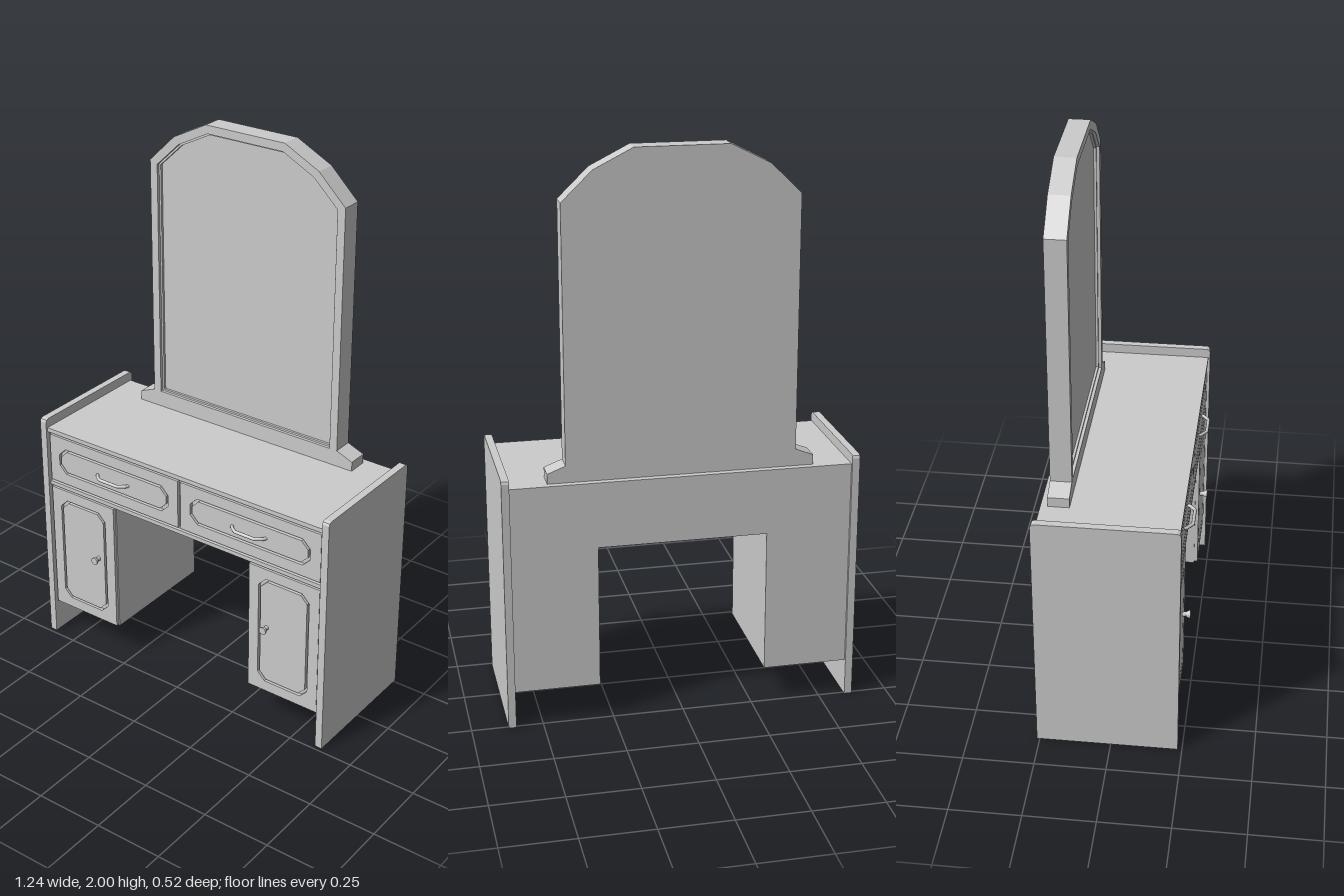
import * as THREE from 'three';

const material = new THREE.MeshStandardMaterial({ color: 0xcccccc, flatShading: true });
const roundMaterial = new THREE.MeshStandardMaterial({ color: 0xcccccc });

function add(parent, name, geometry, mat = material) {
  const mesh = new THREE.Mesh(geometry, mat);
  mesh.name = name;
  parent.add(mesh);
  return mesh;
}

// Box given by its minimum and maximum corners
function box(parent, name, [x0, y0, z0], [x1, y1, z1]) {
  const mesh = add(parent, name, new THREE.BoxGeometry(x1 - x0, y1 - y0, z1 - z0));
  mesh.position.set((x0 + x1) / 2, (y0 + y1) / 2, (z0 + z1) / 2);
  return mesh;
}

const toPoints = (list) => list.map(([x, y]) => new THREE.Vector2(x, y));

// Rectangle with cut corners
const cutRect = (x0, y0, x1, y1, c) => toPoints([
  [x0 + c, y0], [x1 - c, y0], [x1, y0 + c], [x1, y1 - c],
  [x1 - c, y1], [x0 + c, y1], [x0, y1 - c], [x0, y0 + c],
]);

// Plate extruded from z0 to z1, optionally with one opening
function plate(parent, name, outline, z0, z1, hole) {
  const shape = new THREE.Shape(outline);
  if (hole) shape.holes.push(new THREE.Path(hole));
  const geometry = new THREE.ExtrudeGeometry(shape, { depth: z1 - z0, bevelEnabled: false });
  geometry.translate(0, 0, z0);
  return add(parent, name, geometry);
}

// Drawer or door front: flat border, octagonal groove and raised field
function panelFront(parent, name, x0, y0, x1, y1, inset) {
  const group = new THREE.Group();
  group.name = name;
  parent.add(group);
  const groove = (d, c) => cutRect(x0 + inset + d, y0 + inset + d, x1 - inset - d, y1 - inset - d, c);
  const outline = toPoints([[x0, y0], [x1, y0], [x1, y1], [x0, y1]]);
  plate(group, 'border', outline, 0.212, 0.225, groove(0, 0.03));
  plate(group, 'field', groove(0.009, 0.027), 0.212, 0.225);
  return group;
}

// Arched outline shared by mirror frame, bead and glass
function arch(d, bottom) {
  const right = [
    [0.4 - d, bottom], [0.4 - d, 1.83 - d * 0.4],
    [0.295 - d * 0.65, 1.932 - d * 0.8], [0.16 - d * 0.25, 2 - d],
  ];
  const left = right.map(([x, y]) => [-x, y]).reverse();
  return toPoints([...right, ...left]);
}

// Bow-shaped pull made from a bent rod
function addHandle(parent, x) {
  const path = new THREE.CurvePath();
  const points = [[-0.071, 0.222], [-0.064, 0.234], [-0.041, 0.251],
    [0.041, 0.251], [0.064, 0.234], [0.071, 0.222]]
    .map(([px, pz]) => new THREE.Vector3(x + px, 0.76, pz));
  for (let i = 1; i < points.length; i++) path.add(new THREE.LineCurve3(points[i - 1], points[i]));
  add(parent, 'drawerHandle', new THREE.TubeGeometry(path, 40, 0.006, 8), roundMaterial);
}

// Flared door knob
function addKnob(parent, x) {
  const profile = toPoints([[0, 0], [0.009, 0], [0.008, 0.012], [0.014, 0.022], [0.014, 0.028], [0, 0.028]]);
  const knob = add(parent, 'doorKnob', new THREE.LatheGeometry(profile, 16));
  knob.rotation.x = Math.PI / 2;
  knob.position.set(x, 0.403, 0.224);
}

export function createModel() {
  const model = new THREE.Group();
  model.name = 'dressingTable';

  // Table top, drawer case and rail beneath the drawers
  box(model, 'tableTop', [-0.595, 0.864, -0.25], [0.595, 0.88, 0.228]);
  box(model, 'drawerCase', [-0.595, 0.645, -0.25], [0.595, 0.864, 0.212]);
  box(model, 'drawerRail', [-0.595, 0.645, 0.212], [0.595, 0.66, 0.225]);

  for (const s of [-1, 1]) {
    const span = (a, b) => (s > 0 ? [a, b] : [-b, -a]);
    const side = s > 0 ? 'left' : 'right';

    // End panel with small cut corners at the top
    const profile = toPoints([[-0.26, 0], [0.235, 0], [0.235, 0.902], [0.231, 0.911], [0.222, 0.915],
      [-0.247, 0.915], [-0.256, 0.911], [-0.26, 0.902]]);
    const end = new THREE.ExtrudeGeometry(new THREE.Shape(profile), { depth: 0.027, bevelEnabled: false });
    end.rotateY(-Math.PI / 2);
    end.translate(s > 0 ? 0.622 : -0.595, 0, 0);
    add(model, side + 'EndPanel', end);

    // Pedestal cabinet
    const [c0, c1] = span(0.296, 0.595);
    box(model, side + 'Cabinet', [c0, 0.13, -0.25], [c1, 0.645, 0.212]);

    // Drawer and door
    const [w0, w1] = span(0.006, 0.588);
    const drawer = panelFront(model, side + 'Drawer', w0, 0.669, w1, 0.855, 0.042);
    addHandle(drawer, s * 0.297);
    const [d0, d1] = span(0.3, 0.588);
    const door = panelFront(model, side + 'Door', d0, 0.135, d1, 0.638, 0.04);
    addKnob(door, s * 0.376);
  }

  // Mirror with foot, frame, inner bead, glass and backing
  const mirror = new THREE.Group();
  mirror.name = 'mirror';
  model.add(mirror);
  plate(mirror, 'mirrorFoot', toPoints([[-0.463, 0.88], [0.463, 0.88], [0.463, 0.915],
    [0.4, 0.94], [-0.4, 0.94], [-0.463, 0.915]]), -0.226, -0.152);
  plate(mirror, 'mirrorFrame', arch(0, 0.935), -0.226, -0.152, arch(0.03, 0.94));
  plate(mirror, 'mirrorBead', arch(0.03, 0.94), -0.2, -0.163, arch(0.037, 0.947));
  plate(mirror, 'mirrorGlass', arch(0.03, 0.94), -0.226, -0.172);

  return model;
}
